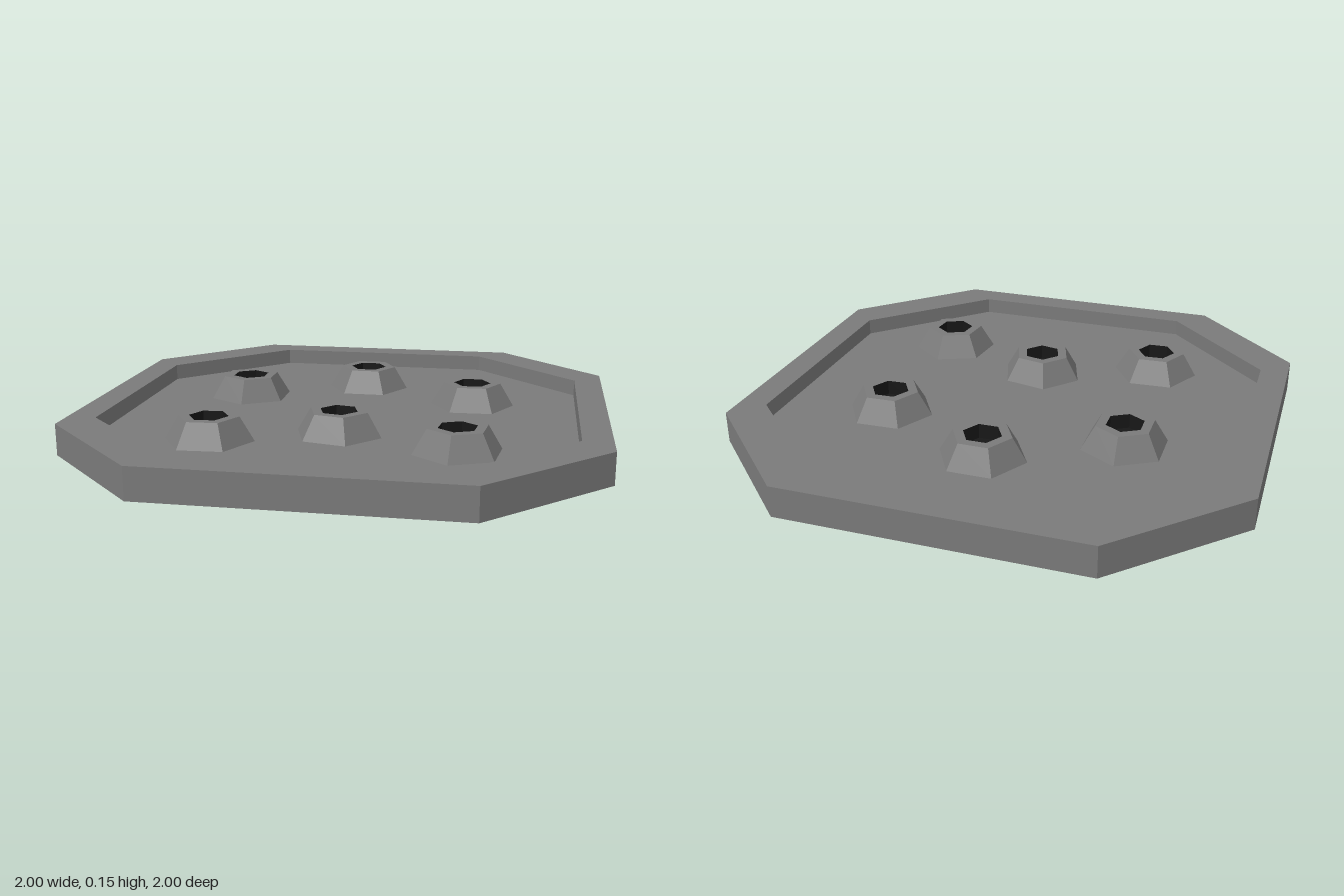
import * as THREE from 'three';

const FLOOR = 0.055, RIM = 0.12, TOP = 0.147, PIT = 0.09;

// Corners of an octagon: half width h, half length c of the straight sides
function octagon(h, c, y) {
  return [[h, c], [c, h], [-c, h], [-h, c], [-h, -c], [-c, -h], [c, -h], [h, -c]]
    .map(([x, z]) => [x, y, z]);
}

// Tray skin: rings joined from the underside, over the rim, to the sunken floor
function trayGeometry() {
  const rings = [
    octagon(1, 0.57, 0), octagon(1, 0.57, RIM),
    octagon(0.89, 0.46, RIM), octagon(0.89, 0.46, FLOOR),
  ];
  const pos = [];
  const tri = (a, b, c) => pos.push(...a, ...b, ...c);
  for (let i = 0; i < 8; i++) {
    const j = (i + 1) % 8;
    for (let k = 0; k < rings.length - 1; k++) {
      const lo = rings[k], hi = rings[k + 1];
      tri(lo[i], hi[i], hi[j]);
      tri(lo[i], hi[j], lo[j]);
    }
    tri([0, 0, 0], rings[0][i], rings[0][j]);
    tri([0, FLOOR, 0], rings[3][j], rings[3][i]);
  }
  const geo = new THREE.BufferGeometry();
  geo.setAttribute('position', new THREE.Float32BufferAttribute(pos, 3));
  geo.computeVertexNormals();
  return geo;
}

// Six-sided surface of revolution from [radius, height] points
function hexLathe(points) {
  return new THREE.LatheGeometry(points.map(([r, y]) => new THREE.Vector2(r, y)), 6, Math.PI / 2);
}

export function createModel() {
  const model = new THREE.Group();
  model.name = 'octagonalTray';
  const stone = new THREE.MeshStandardMaterial({ color: 0x7a7a7a, flatShading: true });
  const dark = new THREE.MeshStandardMaterial({ color: 0x171717, flatShading: true });

  const tray = new THREE.Mesh(trayGeometry(), stone);
  tray.name = 'tray';
  model.add(tray);

  // Studs: tapered hexagonal collars, each with a dark recess
  const collarGeo = hexLathe([[0.17, FLOOR], [0.115, TOP], [0.075, TOP]]);
  const pitGeo = hexLathe([[0.075, TOP], [0.075, PIT], [0, PIT]]);

  // x, z, turn in degrees from +x towards +z
  const studs = [
    [-0.003, -0.47, 0], [-0.475, -0.23, 30], [0.468, -0.23, -2],
    [-0.451, 0.455, -3], [0.005, 0.295, 12], [0.46, 0.45, -23],
  ];
  studs.forEach(([x, z, turn], i) => {
    const stud = new THREE.Group();
    stud.name = `stud${i + 1}`;
    const collar = new THREE.Mesh(collarGeo, stone);
    collar.name = 'collar';
    const pit = new THREE.Mesh(pitGeo, dark);
    pit.name = 'recess';
    stud.add(collar, pit);
    stud.position.set(x, 0, z);
    stud.rotation.y = -THREE.MathUtils.degToRad(turn);
    model.add(stud);
  });
  return model;
}
